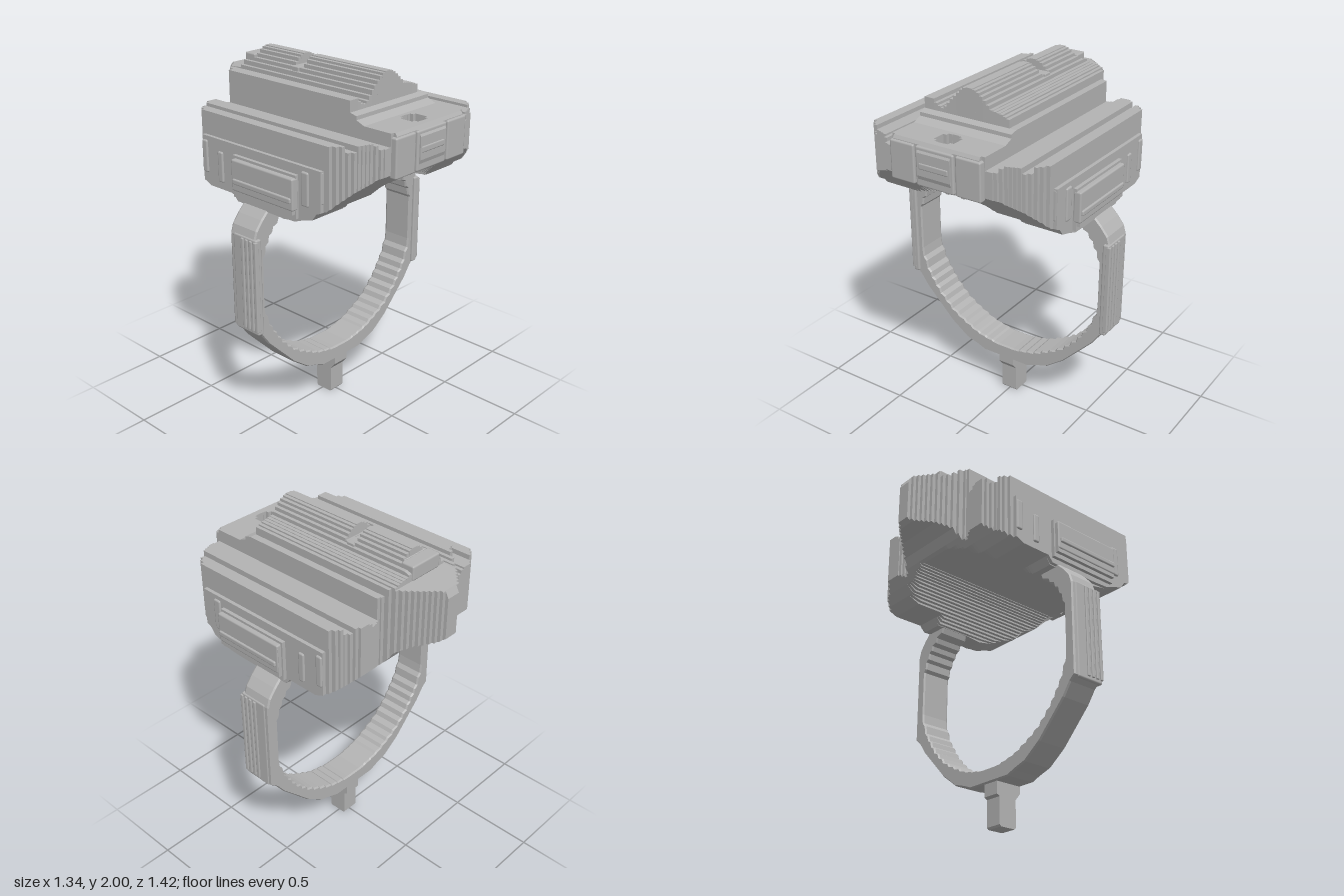
import * as THREE from 'three';
import { mergeGeometries } from 'three/addons/utils/BufferGeometryUtils.js';
import { RoundedBoxGeometry } from 'three/addons/geometries/RoundedBoxGeometry.js';

// Linear lookup through a profile of [position, value] pairs
function at(profile, t) {
  if (t <= profile[0][0]) return profile[0][1];
  for (let i = 1; i < profile.length; i++) {
    const [a, va] = profile[i - 1], [b, vb] = profile[i];
    if (t <= b) return va + (vb - va) * (t - a) / (b - a);
  }
  return profile[profile.length - 1][1];
}

// Crown profile across x
const crownTop = [[-.6, 1.53], [-.575, 1.55], [-.56, 1.62], [-.531, 1.63], [-.53, 1.75], [-.49, 1.75],
  [-.48, 1.72], [-.44, 1.72], [-.43, 1.75], [-.36, 1.75], [-.33, 1.72], [-.281, 1.72], [-.28, 1.9],
  [-.23, 1.9], [-.2, 1.87], [-.17, 1.86], [-.14, 1.88], [-.12, 1.91], [-.08, 1.95], [-.04, 1.99], [0, 2],
  [.04, 1.99], [.08, 1.96], [.13, 1.91], [.19, 1.9], [.239, 1.88], [.24, 1.84], [.28, 1.84], [.281, 1.72],
  [.33, 1.72], [.36, 1.75], [.43, 1.75], [.44, 1.72], [.48, 1.72], [.49, 1.75], [.53, 1.75], [.531, 1.63],
  [.56, 1.62], [.575, 1.55], [.6, 1.53]];
// Crown profiles along z
const lengthTop = [[-.71, 1.83], [-.69, 1.87], [-.531, 1.88], [-.53, 1.92], [-.48, 1.95], [-.461, 1.96],
  [-.46, 2], [-.161, 2], [-.16, 1.94], [-.1, 1.94], [-.099, 2], [.409, 2], [.41, 1.84], [.45, 1.83],
  [.451, 1.81], [.5, 1.79], [.68, 1.79], [.71, 1.74]];
const lengthBottom = [[-.71, 1.6], [-.68, 1.58], [-.6, 1.56], [-.53, 1.52], [-.5, 1.47], [-.45, 1.42],
  [-.4, 1.38], [-.33, 1.35], [-.15, 1.35], [-.12, 1.31], [.1, 1.31], [.2, 1.3], [.3, 1.32], [.35, 1.34],
  [.42, 1.36], [.45, 1.4], [.5, 1.42], [.56, 1.48], [.6, 1.52], [.65, 1.57], [.7, 1.59], [.71, 1.62]];
// Finger arch and plan outline by distance from the middle
const arch = [[0, 1.46], [.1, 1.46], [.2, 1.43], [.3, 1.38], [.4, 1.32], [.43, 1.3], [.54, 1.3], [.58, 1.36], [.6, 1.38]];
const planBack = [[0, -.71], [.03, -.71], [.13, -.62], [.2, -.55], [.26, -.47], [.32, -.5], [.41, -.5],
  [.47, -.45], [.5, -.44], [.56, -.37], [.561, -.13], [.6, -.11]];
const planFront = [[0, .71], [.1, .71], [.11, .69], [.25, .69], [.26, .67], [.32, .67], [.37, .63], [.45, .6],
  [.52, .53], [.56, .46], [.561, .33], [.6, .32]];

const shapeOf = pts => new THREE.Shape(pts.map(p => new THREE.Vector2(p[0], p[1])));

// Extrude a (z, y) outline from x0 to x1
function alongX(pts, x0, x1) {
  const g = new THREE.ExtrudeGeometry(shapeOf(pts), { depth: x1 - x0, bevelEnabled: false });
  return g.rotateY(-Math.PI / 2).translate(x1, 0, 0);
}

// One thin ridge of the crown between two z limits
function ridge(x0, x1, zBack, zFront) {
  const x = (x0 + x1) / 2, a = Math.abs(x);
  const zs = [zBack, zFront, ...lengthTop.map(p => p[0]), ...lengthBottom.map(p => p[0])]
    .filter(z => z >= zBack && z <= zFront).sort((m, n) => m - n)
    .filter((z, i, all) => i === 0 || z - all[i - 1] > 1e-5);
  const top = z => z >= .41 && a < .285 ? at(lengthTop, z) : Math.min(at(crownTop, x), at(lengthTop, z));
  const bottom = z => Math.min(Math.max(at(arch, a), at(lengthBottom, z)), top(z) - .01);
  return alongX([...zs.map(z => [z, bottom(z)]), ...zs.map(z => [z, top(z)]).reverse()], x0, x1);
}

export function createModel() {
  const model = new THREE.Group();
  const metal = new THREE.MeshStandardMaterial({ color: 0xb3b3b3 });
  metal.name = 'grey metal';
  const add = (geometry, name) => {
    const mesh = new THREE.Mesh(geometry, metal);
    mesh.name = name;
    model.add(mesh);
    return mesh;
  };
  const box = (name, x0, x1, y0, y1, z0, z1, r = .01) => add(
    new RoundedBoxGeometry(x1 - x0, y1 - y0, z1 - z0, 1, r)
      .translate((x0 + x1) / 2, (y0 + y1) / 2, (z0 + z1) / 2), name);

  // Ridged crown, leaving an octagonal hole through the front ledge
  const ridges = [], step = .02;
  for (let i = -30; i < 30; i++) {
    const x0 = i * step, x1 = x0 + step, a = Math.abs(x0 + step / 2);
    const zb = at(planBack, a), zf = at(planFront, a);
    if (a < .06) {
      const h = Math.min(.06, .087 - a);
      ridges.push(ridge(x0, x1, zb, .583 - h), ridge(x0, x1, .583 + h, zf));
    } else ridges.push(ridge(x0, x1, zb, zf));
  }
  add(mergeGeometries(ridges), 'crown');

  // Front panels and bar
  for (const [x0, x1] of [[-.275, -.125], [-.115, .115], [.125, .275]])
    box('frontPanel', x0, x1, 1.56, 1.77, .66, .703);
  box('frontBar', -.09, .09, 1.655, 1.69, .69, .715, .008);

  // Rear crossbar and its block on the crown
  box('crossbar', -.11, .11, 1.9, 1.945, -.165, -.115, .005);
  box('rearBlock', -.1, .1, 1.88, 1.96, -.54, -.46);

  // Side panels, bars and small uprights
  for (const s of [-1, 1]) {
    const side = (name, x0, x1, ...rest) =>
      s > 0 ? box(name, x0, x1, ...rest) : box(name, -x1, -x0, ...rest);
    side('sidePanel', .56, .605, 1.39, 1.56, -.115, .33);
    side('sideBar', .59, .615, 1.43, 1.46, -.1, .32, .008);
    side('sideUpright', .54, .57, 1.39, 1.56, -.26, -.22);
    side('sideUpright', .54, .57, 1.42, 1.6, -.38, -.34);
    side('sideUpright', .54, .57, 1.42, 1.6, .35, .4);
    side('sideUpright', .53, .56, 1.45, 1.62, .43, .48);

    // Fluted grips on the band
    side('gripBase', .62, .66, .64, 1.19, -.055, .12);
    for (let k = 0; k < 4; k++)
      side('gripFlute', .64, .668, .66, 1.18, .008 + k * .031, .028 + k * .031, .005);
  }

  // Finger band: outer edge and stepped inner edge, mirrored
  const outer = [[.15, .24], [.2, .26], [.28, .285], [.39, .365], [.57, .55], [.62, .62], [.655, .65],
    [.655, 1.18], [.64, 1.23], [.6, 1.28], [.55, 1.33], [.45, 1.36]];
  const inner = [[.05, .32], [.1, .33], [.15, .34], [.2, .355], [.25, .38], [.3, .405], [.35, .435], [.4, .475],
    [.44, .515], [.48, .56], [.51, .605], [.54, .65], [.57, .72], [.595, .8], [.595, 1.07], [.575, 1.13],
    [.55, 1.18], [.52, 1.22], [.48, 1.26], [.42, 1.32]];
  const stepped = [];
  inner.forEach(([x, y], i) => {
    if (i > 0) {
      const [px, py] = inner[i - 1];
      stepped.push([px + (x - px) * .75, py + (y - py) * .3]);
    }
    stepped.push([x, y]);
  });
  const mirror = pts => pts.map(([x, y]) => [-x, y]);
  const outline = [...outer, ...stepped.slice().reverse(), ...mirror(stepped), ...mirror(outer).reverse()];
  add(new THREE.ExtrudeGeometry(shapeOf(outline), {
    depth: .165, bevelEnabled: true, bevelThickness: .01, bevelSize: .006, bevelOffset: -.006, bevelSegments: 1
  }).translate(0, 0, -.07), 'band');

  // Stem under the band
  add(alongX([[-.035, 0], [.06, 0], [.068, .01], [.068, .16], [.1, .2], [.1, .27], [-.065, .27], [-.065, .17],
    [-.045, .16], [-.045, .01]].reverse(), -.05, .05), 'stem');

  return model;
}
